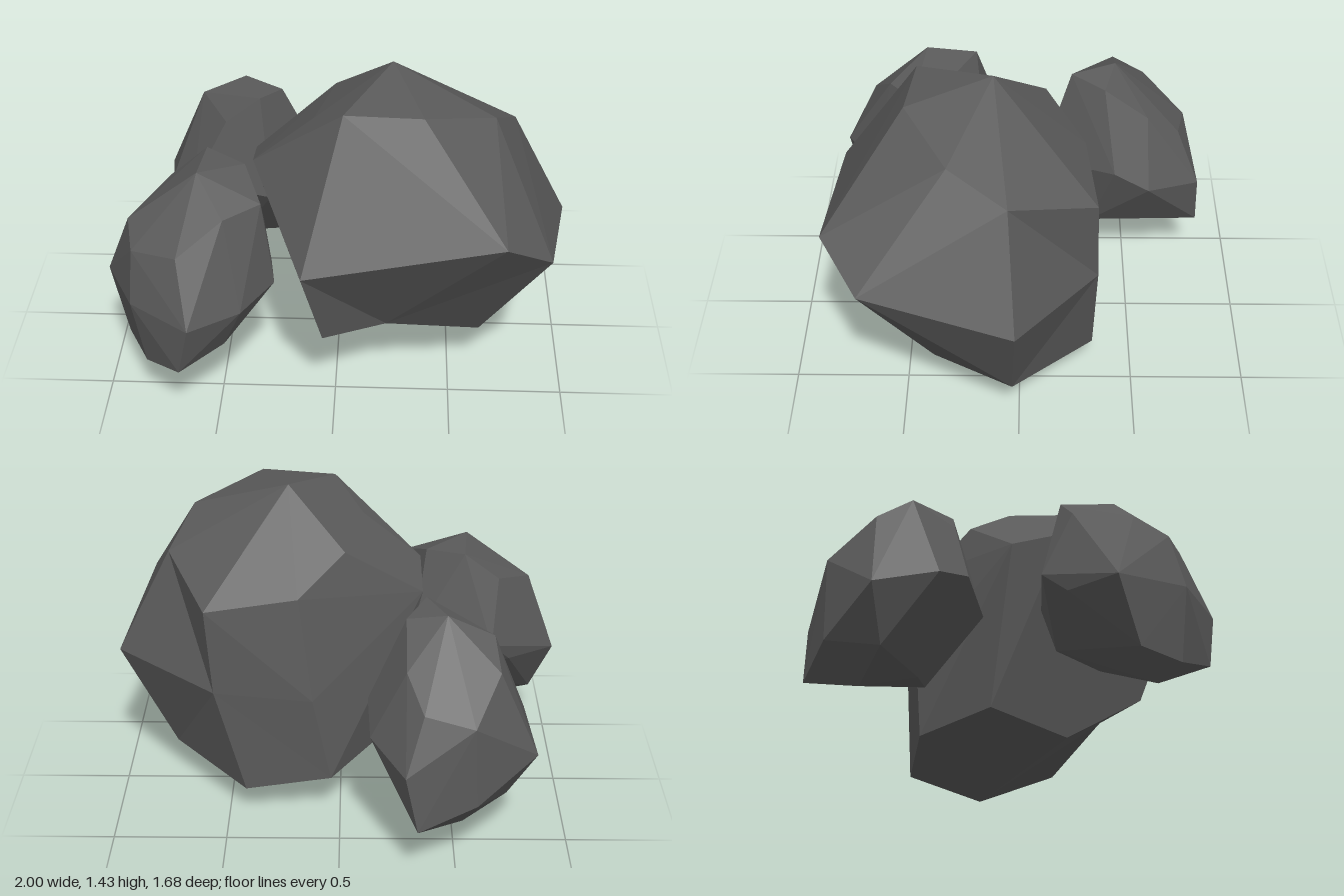
import * as THREE from 'three';
import { ConvexGeometry } from 'three/addons/geometries/ConvexGeometry.js';

// Each boulder is the convex hull of its corner points.
const BIG_ROCK = [
  // crown
  [0.23, 1.435, 0.11], [0.03, 1.355, 0.44], [0.36, 1.365, 0.475], [0.66, 1.275, 0.29],
  [0.76, 1.145, 0.045], [-0.1, 1.24, 0.26], [-0.02, 1.21, -0.11], [0.18, 1.065, -0.28],
  // girth
  [0.7, 0.96, 0.81], [-0.13, 0.785, 0.795], [0.9, 0.805, 0.655], [1, 0.67, 0.015],
  [0.58, 1.025, -0.325], [0.12, 0.6, -0.335],
  [-0.36, 1.03, 0.26], [-0.365, 0.96, 0.03],
  // underside
  [-0.05, 0.385, 0.65], [0.63, 0.25, 0.37], [0.76, 0.185, 0.03],
  [-0.08, 0.18, 0.31], [-0.19, 0.26, -0.04], [0.42, 0.145, -0.325], [0.04, 0.2, -0.32],
  [0.3, 0, -0.02],
];

// Hollows in the big rock: a corner of the hull and where it is pushed in to.
const BIG_ROCK_DENTS = [
  { from: [0.85, 0.64, -0.39], to: [0.55, 0.64, -0.335] },
  { from: [0.22, 0.34, 0.62], to: [0.22, 0.375, 0.52] },
];

const FRONT_ROCK = [
  // crown
  [-0.58, 1.07, 0.44], [-0.39, 1.04, 0.31], [-0.56, 1.06, 0.21], [-0.72, 0.93, 0.23],
  [-0.31, 0.96, 0.5], [-0.46, 0.945, 0.61], [-0.88, 0.845, 0.45],
  // girth
  [-0.65, 0.81, 0.7], [-0.85, 0.78, 0.6], [-0.27, 0.68, 0.5], [-0.26, 0.58, 0.52],
  [-0.33, 0.66, 0.16], [-0.69, 0.65, 0.1], [-1, 0.52, 0.35], [-0.86, 0.55, 0.66],
  [-0.6, 0.54, 0.84], [-0.39, 0.55, 0.71],
  // underside
  [-0.78, 0.54, 0.19], [-0.45, 0.42, 0.2], [-0.38, 0.37, 0.4], [-0.47, 0.345, 0.65],
  [-0.65, 0.3, 0.8], [-0.91, 0.255, 0.45], [-0.81, 0.24, 0.64], [-0.76, 0.165, 0.55],
];

const BACK_ROCK = [
  // crown
  [-0.45, 1.07, -0.43], [-0.37, 1.06, -0.23], [-0.53, 0.93, -0.24], [-0.28, 1.03, -0.38],
  [-0.65, 0.98, -0.43], [-0.28, 0.88, -0.58], [-0.67, 0.88, -0.58],
  // girth
  [-0.56, 0.72, -0.77], [-0.35, 0.76, -0.73], [-0.12, 0.675, -0.43], [-0.13, 0.575, -0.59],
  [-0.32, 0.62, -0.09], [-0.69, 0.62, -0.2], [-0.8, 0.58, -0.33], [-0.84, 0.5, -0.6],
  [-0.275, 0.52, -0.83],
  // underside
  [-0.58, 0.35, -0.77], [-0.33, 0.265, -0.84], [-0.27, 0.3, -0.33],
  [-0.72, 0.28, -0.55], [-0.5, 0.245, -0.38], [-0.53, 0.18, -0.62],
];

export function createModel() {
  const stone = new THREE.MeshStandardMaterial({ color: 0x5a5a5a });
  stone.name = 'darkGreyStone';
  const model = new THREE.Group();
  model.name = 'rockCluster';

  const addRock = (name, corners, dents = []) => {
    const points = [...corners, ...dents.map((d) => d.from)].map((c) => new THREE.Vector3(...c));
    const geometry = new ConvexGeometry(points);
    const position = geometry.attributes.position;
    const vertex = new THREE.Vector3();
    for (const { from, to } of dents) {
      const corner = new THREE.Vector3(...from);
      for (let i = 0; i < position.count; i++) {
        vertex.fromBufferAttribute(position, i);
        if (vertex.distanceTo(corner) < 0.001) position.setXYZ(i, ...to);
      }
    }
    geometry.computeVertexNormals();
    const rock = new THREE.Mesh(geometry, stone);
    rock.name = name;
    model.add(rock);
  };

  addRock('bigRock', BIG_ROCK, BIG_ROCK_DENTS);
  addRock('frontSmallRock', FRONT_ROCK);
  addRock('backSmallRock', BACK_ROCK);
  return model;
}
